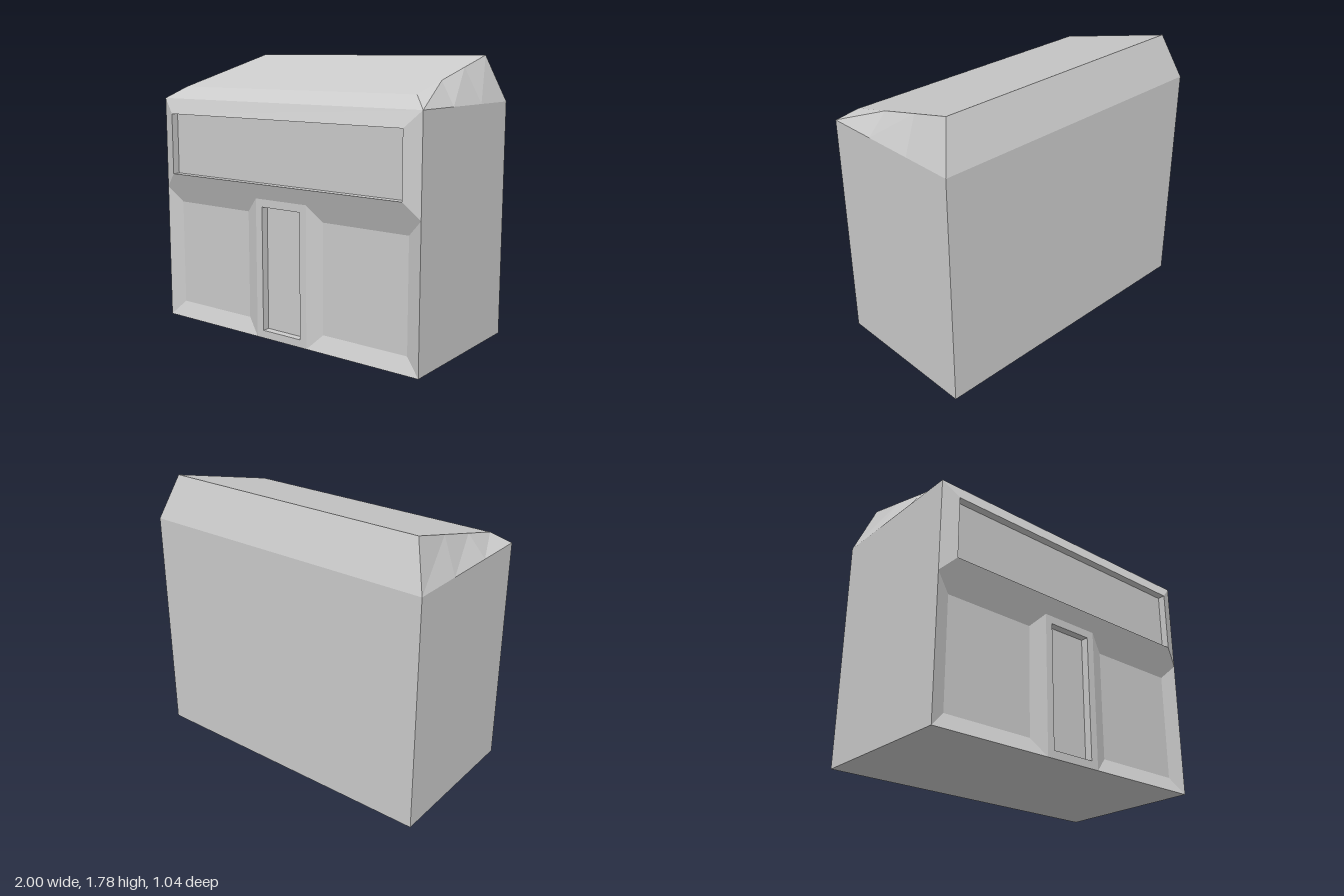
import * as THREE from 'three';

const FRONT = 0.48, BACK = -0.52, WALL = 1.5;
const material = new THREE.MeshStandardMaterial({ color: 0xcccccc, flatShading: true });

// Mesh from four-cornered faces, corners counter-clockwise seen from outside
function quadMesh(name, quads) {
  const positions = [];
  for (const [a, b, c, d] of quads) positions.push(...a, ...b, ...c, ...a, ...c, ...d);
  const geometry = new THREE.BufferGeometry();
  geometry.setAttribute('position', new THREE.Float32BufferAttribute(positions, 3));
  geometry.computeVertexNormals();
  const mesh = new THREE.Mesh(geometry, material);
  mesh.name = name;
  return mesh;
}

// Joins a row of matching corner loops with side faces
function bridge(loops) {
  const quads = [];
  for (let k = 0; k + 1 < loops.length; k++) {
    const a = loops[k], b = loops[k + 1];
    a.forEach((p, i) => {
      const j = (i + 1) % a.length;
      quads.push([p, a[j], b[j], b[i]]);
    });
  }
  return quads;
}

// Facade piece from nested upright rectangles [x0, x1, y0, y1, z], closed at the last one
function facadePiece(name, rects) {
  const loops = rects.map(([x0, x1, y0, y1, z]) =>
    [[x0, y0, z], [x1, y0, z], [x1, y1, z], [x0, y1, z]]);
  return quadMesh(name, [...bridge(loops), loops[loops.length - 1]]);
}

export function createModel() {
  const building = new THREE.Group();
  building.name = 'building';

  // Side walls, rear wall and floor
  const ring = y => [[-1, y, FRONT], [1, y, FRONT], [1, y, BACK], [-1, y, BACK]];
  const base = ring(0);
  const walls = bridge([base, ring(WALL)]).slice(1);
  building.add(quadMesh('walls', [...walls, [...base].reverse()]));

  // Sunken bevelled panels either side of the door
  building.add(
    facadePiece('leftPanel', [[0.2, 1, 0, 0.9, FRONT], [0.3, 0.9, 0.1, 0.8, 0.44]]),
    facadePiece('rightPanel', [[-1, -0.2, 0, 0.9, FRONT], [-0.9, -0.3, 0.1, 0.8, 0.44]]));

  // Door set back in its surround
  building.add(facadePiece('doorway', [
    [-0.2, 0.2, 0, 0.9, FRONT],
    [-0.15, 0.15, 0.05, 0.85, FRONT],
    [-0.15, 0.15, 0.05, 0.85, 0.43]]));

  // Projecting upper band with a long recessed window
  building.add(facadePiece('upperWindow', [
    [-1, 1, 0.9, WALL, FRONT],
    [-0.9, 0.9, 1, 1.4, 0.52],
    [-0.9, 0.9, 1, 1.4, 0.47]]));

  // Sloping roof with bevelled eaves and three-part twisted ends
  const low = t => [1, WALL, THREE.MathUtils.lerp(FRONT, BACK, t)];
  const high = t => [0.9, THREE.MathUtils.lerp(1.575, 1.785, t), THREE.MathUtils.lerp(0.38, -0.42, t)];
  const flip = ([x, y, z]) => [-x, y, z];
  const roof = [
    [flip(high(0)), high(0), high(1), flip(high(1))],
    [flip(low(0)), low(0), high(0), flip(high(0))],
    [low(1), flip(low(1)), flip(high(1)), high(1)]];
  for (let i = 0; i < 3; i++) {
    const end = [low(i / 3), low((i + 1) / 3), high((i + 1) / 3), high(i / 3)];
    roof.push(end, end.map(flip).reverse());
  }
  building.add(quadMesh('roof', roof));

  return building;
}
